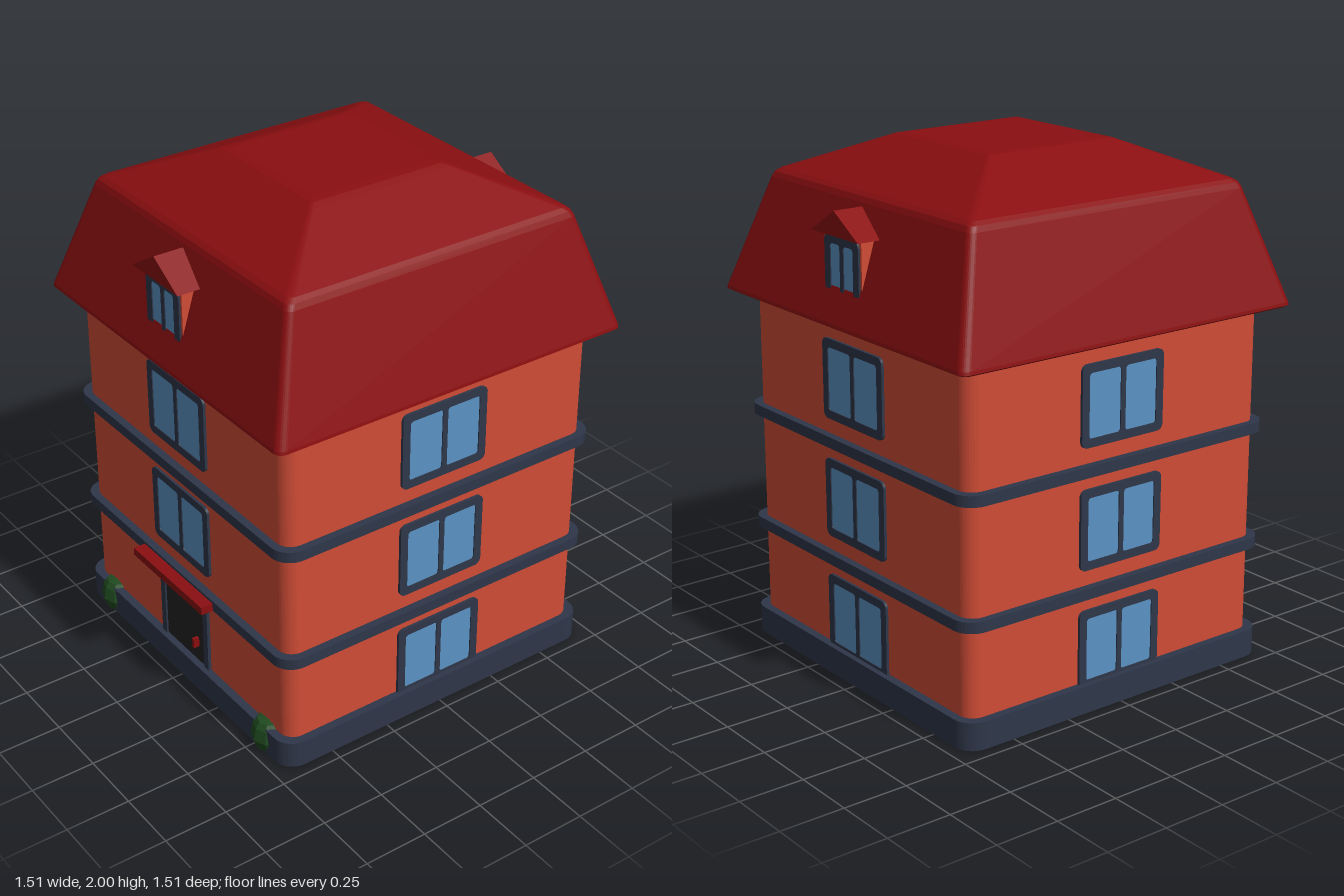
import * as THREE from 'three';

const mat = (name, color, extra = {}) => {
  const m = new THREE.MeshStandardMaterial({ color, ...extra });
  m.name = name;
  return m;
};

// Rounded rectangle path, centred on (cx, cy)
function roundedRect(path, cx, cy, w, h, r) {
  const x = w / 2, y = h / 2, q = Math.PI / 2;
  path.absarc(cx + x - r, cy - y + r, r, -q, 0);
  path.absarc(cx + x - r, cy + y - r, r, 0, q);
  path.absarc(cx - x + r, cy + y - r, r, q, 2 * q);
  path.absarc(cx - x + r, cy - y + r, r, 2 * q, 3 * q);
  path.closePath();
  return path;
}

function extrude(shape, depth, curveSegments = 5) {
  return new THREE.ExtrudeGeometry(shape, { depth, bevelEnabled: false, curveSegments });
}

// Square storey slab with rounded corners, from y0 to y1
function slab(half, y0, y1, r) {
  const g = extrude(roundedRect(new THREE.Shape(), 0, 0, half * 2, half * 2, r), y1 - y0);
  return g.rotateX(-Math.PI / 2).translate(0, y0, 0);
}

// Square rings of [half width, height] joined into a solid
function loft(levels, r) {
  const ring = roundedRect(new THREE.Shape(), 0, 0, 2, 2, r).getPoints(4);
  const n = ring.length, pos = [], index = [];
  for (const [half, y] of levels) for (const p of ring) pos.push(p.x * half, y, -p.y * half);
  for (let k = 0; k < levels.length - 1; k++) {
    for (let i = 0; i < n; i++) {
      const j = (i + 1) % n, a = k * n + i, b = k * n + j;
      index.push(a, b, b + n, a, b + n, a + n);
    }
  }
  let g = new THREE.BufferGeometry();
  g.setAttribute('position', new THREE.Float32BufferAttribute(pos, 3));
  g.setIndex(index);
  g = g.toNonIndexed();
  g.computeVertexNormals();
  return g;
}

export function createModel() {
  const wall = mat('brick red wall', 0xd04c36);
  const roofRed = mat('dark red roof', 0x8a0e10, { flatShading: true });
  const trim = mat('slate trim', 0x2e3648);
  const glass = mat('blue glass', 0x5a93c4);
  const black = mat('black door', 0x232323);
  const green = mat('dark green leaf', 0x1f4a20, { flatShading: true });

  const house = new THREE.Group();
  house.name = 'house';
  const add = (parent, name, geo, material, x = 0, y = 0, z = 0) => {
    const m = new THREE.Mesh(geo, material);
    m.name = name;
    m.position.set(x, y, z);
    parent.add(m);
    return m;
  };

  // Walls, plinth and storey bands
  add(house, 'walls', slab(0.675, 0.001, 1.42, 0.06), wall);
  add(house, 'plinth', slab(0.708, 0.003, 0.11, 0.08), trim);
  for (const y of [0.445, 0.905]) add(house, 'storeyBand', slab(0.706, y, y + 0.042, 0.08), trim);

  // Mansard roof with softened edges
  add(house, 'roof', loft([
    [0, 1.385], [0.742, 1.385], [0.755, 1.393], [0.753, 1.405], [0.622, 1.825], [0.612, 1.845],
    [0.595, 1.858], [0.31, 1.985], [0.285, 1.996], [0.255, 2], [0, 2],
  ], 0.045), roofRed);

  // Two-pane window, front face at z = 0
  function makeWindow(w, h, paneW, paneH, r, lift = 0) {
    const g = new THREE.Group();
    g.name = 'window';
    const s = roundedRect(new THREE.Shape(), 0, 0, w, h, r);
    for (const side of [-1, 1]) {
      s.holes.push(roundedRect(new THREE.Path(), side * (paneW / 2 + 0.011), lift, paneW, paneH, 0.012));
    }
    add(g, 'windowFrame', extrude(s, 0.02), trim, 0, 0, -0.02);
    add(g, 'windowGlass', new THREE.BoxGeometry(paneW * 2 + 0.04, paneH + 0.01, 0.004), glass, 0, lift, -0.006);
    return g;
  }

  // Windows on the four sides; the door replaces the lowest front one
  for (let side = 0; side < 4; side++) {
    const face = new THREE.Group();
    face.name = ['frontWindows', 'leftWindows', 'backWindows', 'rightWindows'][side];
    face.rotation.y = side * Math.PI / 2;
    for (const y of [0.24, 0.7, 1.16]) {
      if (side === 0 && y < 0.5) continue;
      const win = makeWindow(0.375, 0.305, 0.144, 0.24, 0.025);
      win.position.set(0, y, 0.686);
      face.add(win);
    }
    house.add(face);
  }

  // Front door with handle and canopy
  const door = new THREE.Group();
  door.name = 'door';
  const frame = roundedRect(new THREE.Shape(), 0, 0.24, 0.325, 0.38, 0.03);
  frame.holes.push(roundedRect(new THREE.Path(), 0, 0.225, 0.265, 0.34, 0.006));
  add(door, 'doorFrame', extrude(frame, 0.02), trim, 0, 0, 0.668);
  add(door, 'doorPanel', new THREE.BoxGeometry(0.27, 0.34, 0.008), black, 0, 0.225, 0.677);
  add(door, 'doorHandle', new THREE.BoxGeometry(0.014, 0.04, 0.026), roofRed, 0.085, 0.2, 0.692);
  add(door, 'doorCanopy', new THREE.BoxGeometry(0.475, 0.032, 0.1), roofRed, 0, 0.461, 0.705);
  house.add(door);

  // Gabled dormers, front and back
  for (const turn of [0, Math.PI]) {
    const dormer = new THREE.Group();
    dormer.name = turn ? 'backDormer' : 'frontDormer';
    dormer.rotation.y = turn;
    add(dormer, 'dormerWalls', new THREE.BoxGeometry(0.23, 0.19, 0.2), wall, 0, 1.64, 0.61);
    const gable = new THREE.Shape([[-0.147, 1.722], [0.147, 1.722], [0, 1.813]].map(p => new THREE.Vector2(...p)));
    add(dormer, 'dormerRoof', extrude(gable, 0.25), roofRed, 0, 0, 0.495);
    const win = makeWindow(0.212, 0.25, 0.06, 0.175, 0.035, 0.0);
    win.position.set(0, 1.597, 0.718);
    dormer.add(win);
    house.add(dormer);
  }

  // Low bushes at the front corners
  const profile = [[0, 0], [0.056, 0], [0.076, 0.05], [0.066, 0.1], [0.05, 0.122], [0, 0.13]];
  for (const side of [-1, 1]) {
    const geo = new THREE.LatheGeometry(profile.map(p => new THREE.Vector2(...p)), 9);
    add(house, side < 0 ? 'rightBush' : 'leftBush', geo, green, side * 0.537, 0, 0.66);
  }
  return house;
}
